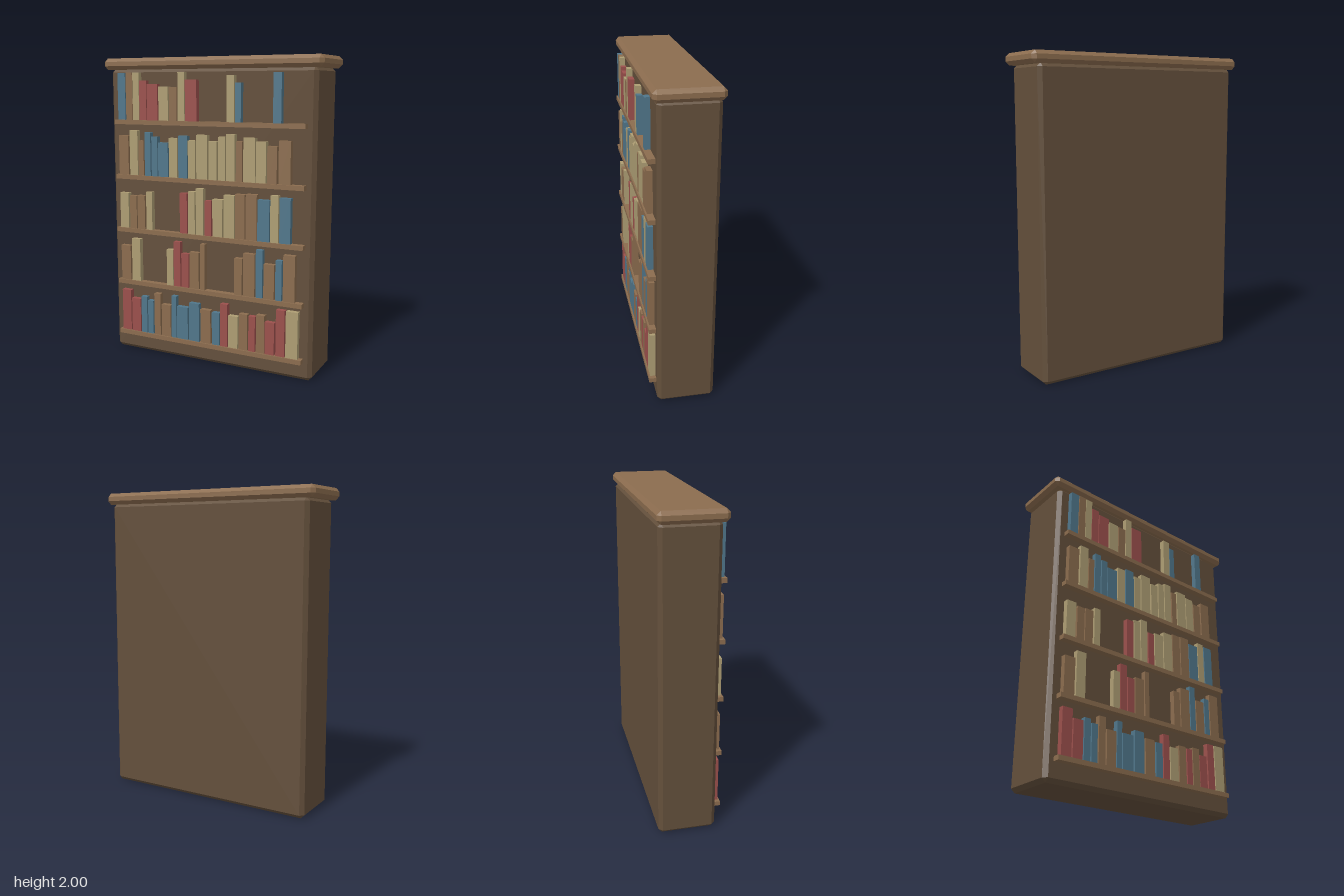
import * as THREE from 'three';
import { ConvexGeometry } from 'three/addons/geometries/ConvexGeometry.js';

const mat = (name, color) => {
  const m = new THREE.MeshStandardMaterial({ color });
  m.name = name;
  return m;
};

// Box with every edge and corner cut off by c
function chamferBox(w, h, d, c) {
  const pts = [];
  for (const sx of [-1, 1]) for (const sy of [-1, 1]) for (const sz of [-1, 1]) {
    for (let face = 0; face < 3; face++) {
      const inset = [c, c, c];
      inset[face] = 0;
      pts.push(new THREE.Vector3(
        sx * (w / 2 - inset[0]), sy * (h / 2 - inset[1]), sz * (d / 2 - inset[2])));
    }
  }
  return new ConvexGeometry(pts);
}

export function createModel() {
  const darkWood = mat('darkWood', 0x634f3b);
  const lightWood = mat('lightWood', 0x8b6c4e);
  const red = mat('redCover', 0x9b504c);
  const blue = mat('blueCover', 0x50768a);
  const tan = mat('tanCover', 0xad9d73);
  const covers = { R: red, B: blue, T: tan, N: lightWood };

  const model = new THREE.Group();
  model.name = 'bookcase';

  const add = (parent, name, geometry, material, x, y, z) => {
    const mesh = new THREE.Mesh(geometry, material);
    mesh.name = name;
    mesh.position.set(x, y, z);
    parent.add(mesh);
  };

  // Cabinet and overhanging top
  add(model, 'cabinet', chamferBox(1.446, 1.932, 0.358, 0.024), darkWood, 0, 0.966, -0.015);
  add(model, 'cornice', chamferBox(1.526, 0.074, 0.4, 0.023), lightWood, 0, 1.963, -0.007);

  // One shelf with its row of books: cover, left edge, width, height (in thousandths)
  function addShelf(index, top, books) {
    const row = new THREE.Group();
    row.name = `shelfRow${index}`;
    model.add(row);
    add(row, 'shelf', new THREE.BoxGeometry(1.338, 0.029, 0.05), lightWood, 0, top - 0.0145, 0.183);
    for (let i = 0; i < books.length; i += 4) {
      const [left, w, h] = books.slice(i + 1, i + 4).map(v => v / 1000);
      add(row, 'book', new THREE.BoxGeometry(w, h, 0.04), covers[books[i]],
        left + w / 2, top + h / 2, 0.178);
    }
  }

  addShelf(1, 0.146, [
    'R', -647, 69, 286, 'R', -570, 69, 233, 'B', -494, 45, 255, 'B', -441, 42, 233,
    'N', -390, 48, 289, 'N', -332, 69, 220, 'B', -256, 37, 289, 'B', -213, 82, 223,
    'B', -121, 74, 260, 'N', -36, 74, 228, 'B', 49, 53, 220, 'R', 110, 50, 286,
    'T', 168, 66, 215, 'N', 244, 58, 239, 'R', 311, 45, 233, 'N', 364, 56, 249,
    'R', 424, 63, 212, 'R', 498, 58, 302, 'T', 564, 79, 302]);
  addShelf(2, 0.508, [
    'N', -647, 74, 239, 'T', -562, 66, 292, 'T', -287, 48, 244, 'R', -234, 50, 302,
    'R', -176, 53, 228, 'N', -115, 69, 244, 'N', -36, 34, 305, 'N', 210, 53, 239,
    'N', 271, 79, 276, 'B', 358, 45, 308, 'N', 411, 71, 223, 'B', 490, 42, 255,
    'N', 541, 77, 294]);
  addShelf(3, 0.872, [
    'T', -647, 66, 239, 'N', -570, 53, 223, 'N', -510, 58, 228, 'T', -441, 45, 255,
    'R', -184, 53, 265, 'T', -123, 50, 279, 'T', -65, 53, 302, 'R', -2, 48, 228,
    'T', 54, 71, 241, 'T', 133, 74, 273, 'N', 213, 66, 284, 'N', 287, 74, 289,
    'B', 366, 79, 260, 'T', 451, 53, 292, 'B', 512, 71, 281]);
  addShelf(4, 1.235, [
    'N', -647, 74, 262, 'T', -562, 61, 297, 'N', -494, 40, 231, 'B', -446, 45, 286,
    'B', -393, 45, 260, 'B', -343, 74, 223, 'T', -261, 61, 255, 'B', -192, 66, 271,
    'T', -121, 53, 244, 'T', -60, 77, 281, 'T', 28, 58, 244, 'T', 94, 50, 273,
    'T', 152, 56, 292, 'N', 218, 42, 249, 'T', 268, 79, 273, 'T', 353, 66, 252,
    'N', 427, 63, 228, 'N', 501, 77, 262]);
  addShelf(5, 1.6, [
    'B', -647, 58, 305, 'N', -584, 50, 307, 'T', -531, 48, 305, 'R', -480, 53, 255,
    'R', -422, 79, 233, 'T', -335, 71, 215, 'N', -256, 56, 212, 'T', -192, 48, 307,
    'R', -139, 82, 260, 'T', 152, 53, 284, 'B', 210, 40, 241, 'B', 461, 53, 300]);

  return model;
}
